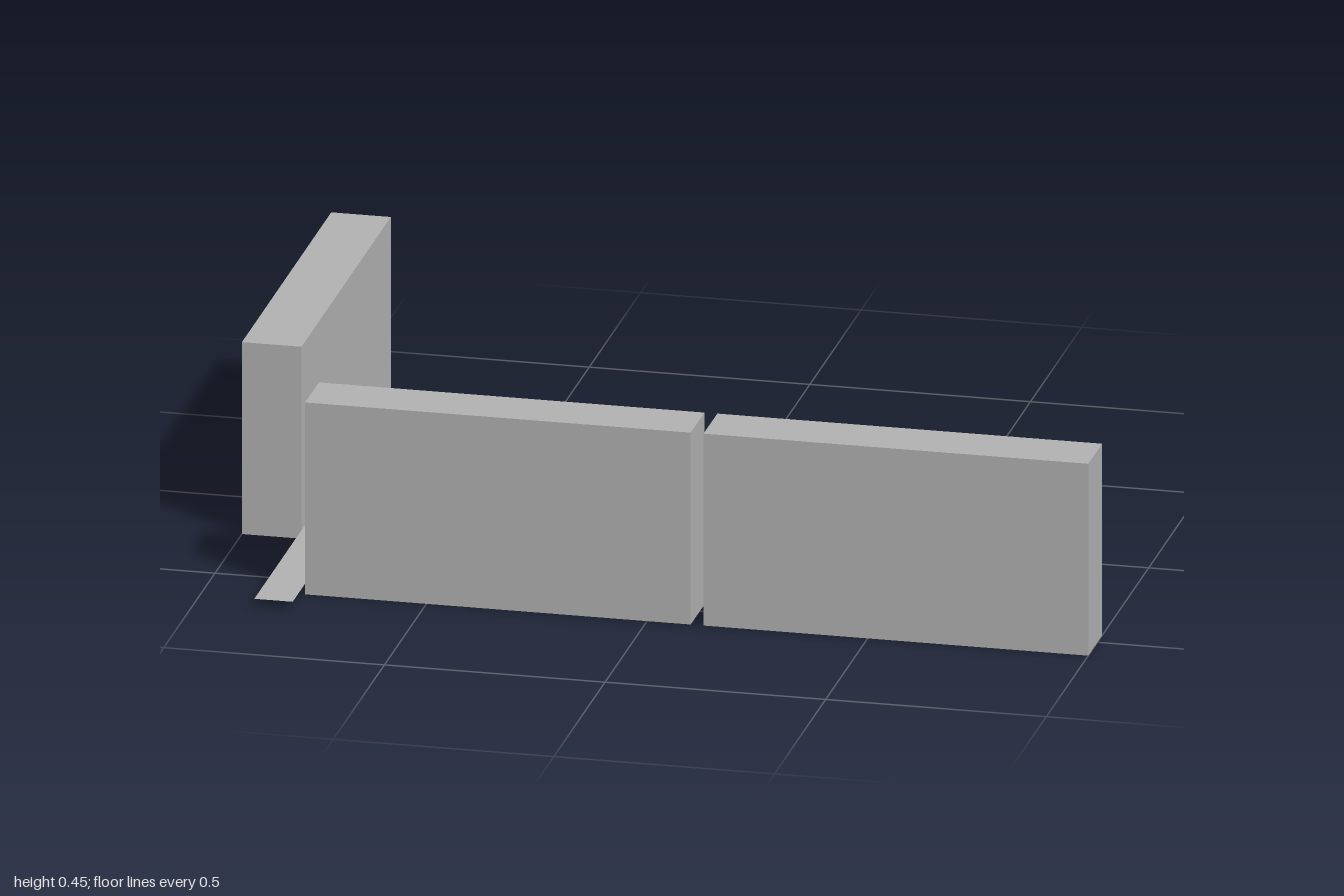
import * as THREE from 'three';

export function createModel() {
  const model = new THREE.Group();
  const wallGrey = new THREE.MeshStandardMaterial({ color: 0xb2b2b2 });
  wallGrey.name = 'wall grey';
  const pavingGrey = new THREE.MeshStandardMaterial({ color: 0xb2b2b2, side: THREE.DoubleSide });
  pavingGrey.name = 'paving grey';
  const roadGrey = new THREE.MeshStandardMaterial({ color: 0x858585, side: THREE.DoubleSide });
  roadGrey.name = 'road grey';

  const HEIGHT = 0.45;
  const GROUND = 0.02;

  // Upright block given by its footprint
  function block(name, x0, x1, z0, z1) {
    const mesh = new THREE.Mesh(new THREE.BoxGeometry(x1 - x0, HEIGHT, z1 - z0), wallGrey);
    mesh.position.set((x0 + x1) / 2, HEIGHT / 2, (z0 + z1) / 2);
    mesh.name = name;
    model.add(mesh);
  }

  // Flat sheet facing up, given by its footprint
  function sheet(name, material, x0, x1, z0, z1) {
    const geometry = new THREE.PlaneGeometry(x1 - x0, z1 - z0).rotateX(-Math.PI / 2);
    const mesh = new THREE.Mesh(geometry, material);
    mesh.position.set((x0 + x1) / 2, GROUND, (z0 + z1) / 2);
    mesh.name = name;
    model.add(mesh);
  }

  // Building blocks
  block('sideBlock', -1, -0.865, -0.635, 0.237);
  block('frontBlockRight', -0.775, 0.099, 0.455, 0.59);
  block('frontBlockLeft', 0.128, 1, 0.455, 0.59);

  // Cross path, and the road between its two pavements
  sheet('crossPath', pavingGrey, -0.865, -0.778, -0.7, 0.698);
  sheet('backPavement', pavingGrey, -0.778, 0.612, 0.138, 0.228);
  sheet('road', roadGrey, -0.778, 0.612, 0.228, 0.361);
  sheet('frontPavement', pavingGrey, -0.778, 0.612, 0.361, 0.453);

  return model;
}
